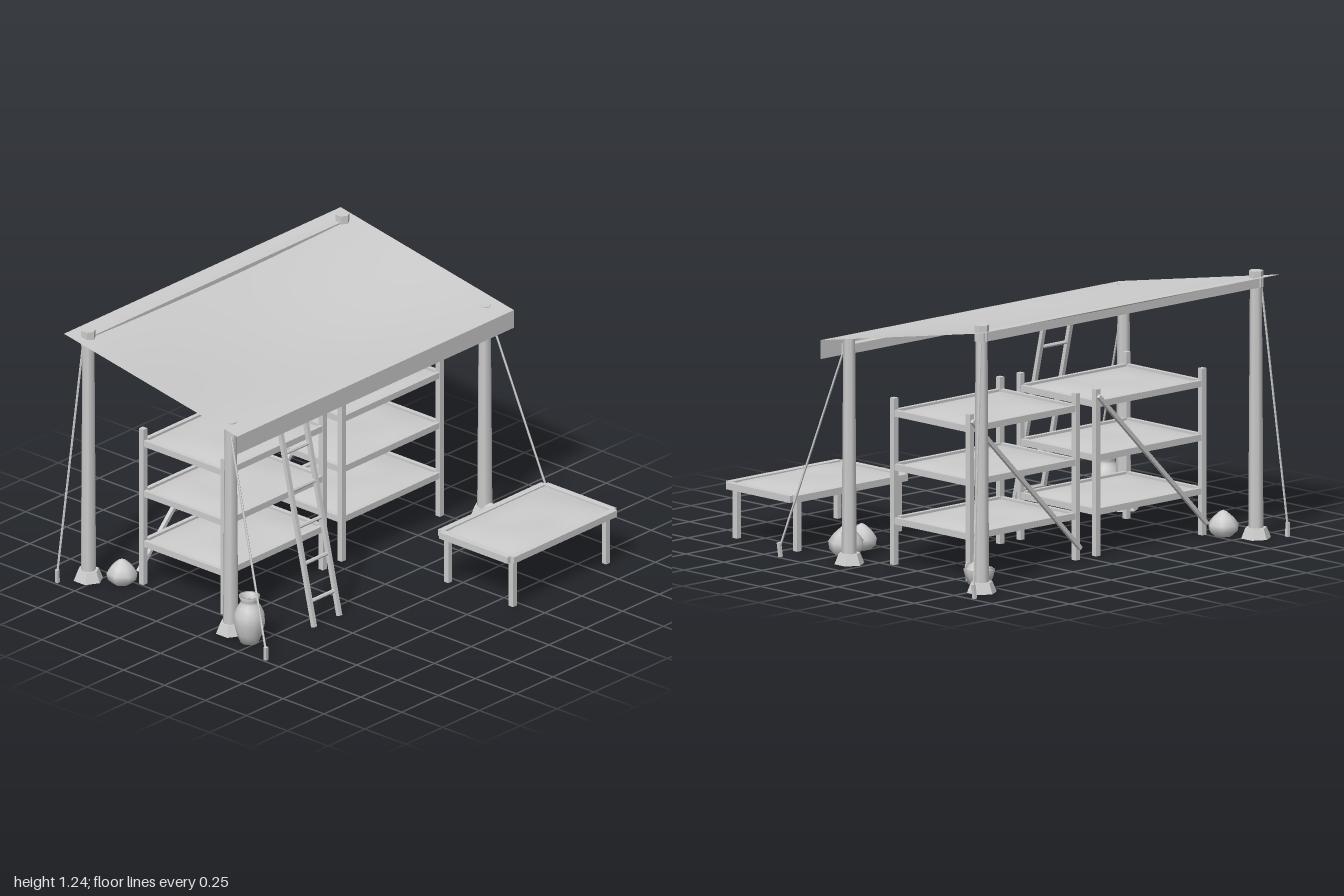
import * as THREE from 'three';

const grey = new THREE.MeshStandardMaterial({ color: 0xcccccc });
grey.name = 'plain grey';
const greyFlat = grey.clone();
greyFlat.flatShading = true;
const greySheet = grey.clone();
greySheet.side = THREE.DoubleSide;

const UP = new THREE.Vector3(0, 1, 0);

function add(parent, name, geometry, x = 0, y = 0, z = 0, material = grey) {
  const mesh = new THREE.Mesh(geometry, material);
  mesh.name = name;
  mesh.position.set(x, y, z);
  parent.add(mesh);
  return mesh;
}

// Box given by its lower and upper corners
function box(parent, name, x0, x1, y0, y1, z0, z1) {
  return add(parent, name, new THREE.BoxGeometry(x1 - x0, y1 - y0, z1 - z0),
    (x0 + x1) / 2, (y0 + y1) / 2, (z0 + z1) / 2);
}

// Straight bar between two points; sides = 4 gives a square section
function bar(parent, name, a, b, radius, sides = 4) {
  const from = new THREE.Vector3(...a), to = new THREE.Vector3(...b);
  const geometry = new THREE.CylinderGeometry(radius, radius, from.distanceTo(to), sides);
  if (sides === 4) geometry.rotateY(Math.PI / 4);
  const mesh = add(parent, name, geometry, 0, 0, 0, greyFlat);
  mesh.position.copy(from).add(to).multiplyScalar(0.5);
  mesh.quaternion.setFromUnitVectors(UP, to.sub(from).normalize());
  return mesh;
}

function lathe(parent, name, profile, sides, x, z) {
  const points = profile.map(([r, y]) => new THREE.Vector2(r, y));
  return add(parent, name, new THREE.LatheGeometry(points, sides), x, 0, z, greySheet);
}

// Horizontal sheet whose height follows a rule of u, v in 0..1
function sheet(parent, name, x0, x1, z0, z1, nx, nz, height) {
  const geometry = new THREE.PlaneGeometry(x1 - x0, z1 - z0, nx, nz);
  geometry.rotateX(-Math.PI / 2);
  geometry.translate((x0 + x1) / 2, 0, (z0 + z1) / 2);
  const p = geometry.attributes.position;
  for (let i = 0; i < p.count; i++) {
    p.setY(i, height((p.getX(i) - x0) / (x1 - x0), (p.getZ(i) - z0) / (z1 - z0)));
  }
  geometry.computeVertexNormals();
  return add(parent, name, geometry, 0, 0, 0, greySheet);
}

// Lumpy cloth that rises from its edges
function lumpyCloth(parent, x0, x1, z0, z1, y, rise, seed) {
  sheet(parent, 'lumpyCloth', x0, x1, z0, z1, 10, 7, (u, v) => {
    const edge = Math.min(1, 6 * Math.min(u, 1 - u, v, 1 - v));
    const lump = 0.75 + 0.25 * Math.sin(u * 9 + seed) * Math.cos(v * 7 + seed * 2);
    return y + rise * edge * lump;
  });
}

function buildCanopy(root) {
  const canopy = new THREE.Group();
  canopy.name = 'canopy';
  root.add(canopy);
  // Sagging roof cloth and hanging front strip
  sheet(canopy, 'roofCloth', -0.94, 0.94, -0.87, 0.19, 12, 9, (u, v) =>
    1.225 - 0.193 * v - 0.064 * Math.sin(Math.PI * u) * Math.sin(Math.PI * v));
  add(canopy, 'frontStrip', new THREE.PlaneGeometry(1.88, 0.088), 0, 0.988, 0.19, greySheet);
  // Cross beams
  box(canopy, 'backBeam', -0.88, 0.88, 1.168, 1.211, -0.82, -0.777);
  box(canopy, 'frontBeam', -0.88, 0.88, 0.975, 1.018, 0.073, 0.115);

  for (const s of [-1, 1]) {
    for (const [z, top] of [[0.08, 1.05], [-0.79, 1.242]]) {
      const x = 0.863 * s;
      const stakeZ = z > 0 ? 0.408 : -0.868;
      add(canopy, 'post', new THREE.CylinderGeometry(0.028, 0.036, top, 7), x, top / 2, z);
      add(canopy, 'postFoot', new THREE.CylinderGeometry(0.05, 0.07, 0.05, 6), x, 0.025, z, greyFlat);
      if (z < 0) add(canopy, 'postCap', new THREE.CylinderGeometry(0.034, 0.034, 0.075, 6), x, 1.205, z, greyFlat);
      // Guy rope and stake
      const tie = z > 0 ? [0.882 * s, 0.985, 0.1] : [0.882 * s, 1.17, -0.805];
      bar(canopy, 'guyRope', tie, [0.987 * s, 0.045, stakeZ], 0.0055, 5);
      bar(canopy, 'stake', [0.984 * s, 0, stakeZ - 0.002], [0.99 * s, 0.066, stakeZ + 0.002], 0.011);
    }
  }
}

// Three-level rack with a diagonal back brace
function buildRack(root, x0, x1, seed) {
  const rack = new THREE.Group();
  rack.name = 'rack';
  root.add(rack);
  const z0 = -0.585, z1 = -0.06, w = 0.027;
  for (const x of [x0, x1 - w]) {
    for (const z of [z0, z1 - w]) box(rack, 'rackPost', x, x + w, 0, 0.775, z, z + w);
  }
  [0.19, 0.44, 0.69].forEach((y, i) => {
    for (const x of [x0, x1 - w]) box(rack, 'sideRail', x + 0.003, x + w - 0.003, y, y + 0.03, z0 + w, z1 - w);
    for (const z of [z0, z1 - w]) box(rack, 'longRail', x0 + w, x1 - w, y, y + 0.03, z + 0.003, z + w - 0.003);
    lumpyCloth(rack, x0 + 0.02, x1 - 0.02, z0 + 0.02, z1 - 0.02, y + 0.018, 0.023, seed + i);
  });
  bar(rack, 'backBrace', [x0 + 0.005, 0.055, -0.592], [x1 - 0.008, 0.745, -0.592], 0.013);
}

function buildTable(root) {
  const table = new THREE.Group();
  table.name = 'table';
  root.add(table);
  for (const x of [0.197, 0.83]) {
    for (const z of [0.43, 0.826]) box(table, 'tableLeg', x, x + 0.027, 0, 0.24, z, z + 0.027);
  }
  for (const z of [0.415, 0.848]) box(table, 'longRail', 0.175, 0.875, 0.232, 0.264, z, z + 0.032);
  for (const x of [0.155, 0.863]) box(table, 'shortRail', x, x + 0.032, 0.231, 0.263, 0.438, 0.858);
  lumpyCloth(table, 0.18, 0.87, 0.435, 0.86, 0.255, 0.025, 2);
}

function buildLadder(root) {
  const ladder = new THREE.Group();
  ladder.name = 'ladder';
  root.add(ladder);
  const zAt = y => 0.33 - 0.226 * y;
  for (const x of [-0.573, -0.402]) bar(ladder, 'ladderRail', [x, 0.003, zAt(0)], [x, 0.93, zAt(0.93)], 0.014);
  for (const y of [0.12, 0.295, 0.465, 0.635, 0.81]) {
    bar(ladder, 'rung', [-0.573, y, zAt(y)], [-0.402, y, zAt(y)], 0.009, 6);
  }
}

function buildGoods(root) {
  const goods = new THREE.Group();
  goods.name = 'goods';
  root.add(goods);
  // Tall jar
  lathe(goods, 'tallJar', [[0, 0], [0.042, 0], [0.06, 0.045], [0.073, 0.1], [0.07, 0.14], [0.054, 0.175],
    [0.041, 0.195], [0.041, 0.208], [0.05, 0.23], [0.038, 0.228], [0.03, 0.2]], 12, -0.885, 0.215);
  // Pointed sacks
  const sacks = [[0.597, 0.278, 0.074, 0.12], [0.747, 0.222, 0.083, 0.145], [-0.79, -0.65, 0.072, 0.12]];
  sacks.forEach(([x, z, r, h], i) => {
    const sack = lathe(goods, 'sack', [[0, 0], [0.6 * r, 0], [0.93 * r, 0.18 * h], [r, 0.45 * h],
      [0.68 * r, 0.7 * h], [0.25 * r, 0.93 * h], [0, h]], 7, x, z);
    sack.rotation.y = i * 0.7;
  });
  // Filled basket with two handles
  lathe(goods, 'basket', [[0, 0], [0.05, 0], [0.064, 0.035], [0.073, 0.07], [0.064, 0.07], [0.06, 0.055]], 8, 0.745, -0.65);
  lathe(goods, 'basketFilling', [[0.064, 0.06], [0.045, 0.09], [0.018, 0.112], [0, 0.12]], 7, 0.745, -0.65);
  for (const s of [-1, 1]) {
    const handle = add(goods, 'basketHandle', new THREE.TorusGeometry(0.02, 0.005, 5, 8, Math.PI), 0.745, 0.068, -0.65 + 0.068 * s);
    handle.rotation.x = 0.2 * s;
  }
}

export function createModel() {
  const root = new THREE.Group();
  root.name = 'marketStall';
  buildCanopy(root);
  buildRack(root, -0.747, -0.053, 0.5);
  buildRack(root, 0.048, 0.742, 3.5);
  buildTable(root);
  buildLadder(root);
  buildGoods(root);
  return root;
}
